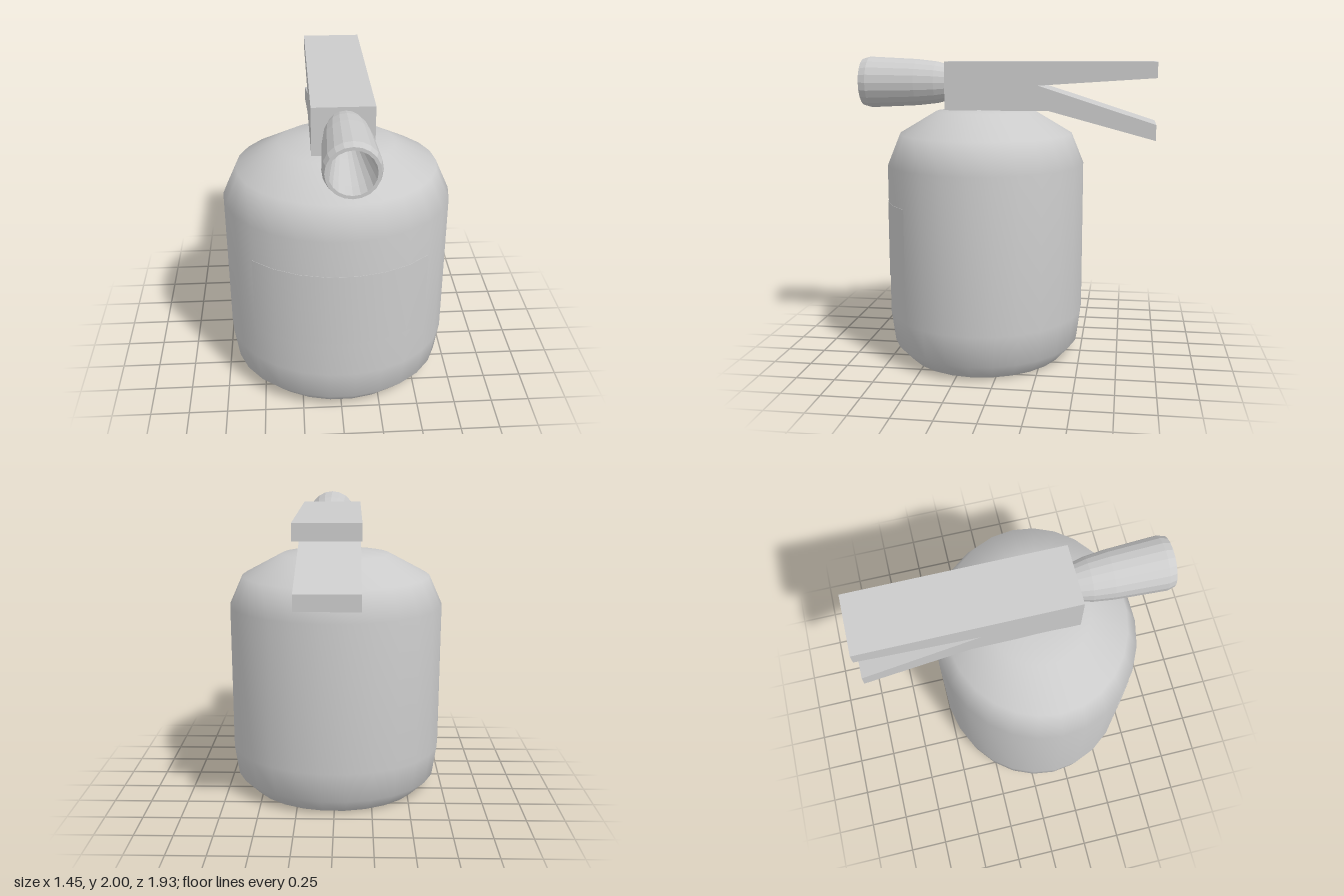
import * as THREE from 'three';

const SIDES = 26;
const grey = new THREE.MeshStandardMaterial({ color: 0xcccccc });
const greyFlat = new THREE.MeshStandardMaterial({ color: 0xcccccc, flatShading: true });

const points = (pairs) => pairs.map(([a, b]) => new THREE.Vector2(a, b));

function addMesh(parent, name, geometry, material) {
  const mesh = new THREE.Mesh(geometry, material);
  mesh.name = name;
  parent.add(mesh);
  return mesh;
}

export function createModel() {
  const model = new THREE.Group();
  model.name = 'fireExtinguisher';

  // Tank: a lathe squashed to an oval, with a sharp flat base
  const tank = new THREE.Group();
  tank.name = 'tank';
  tank.scale.z = 0.9;
  tank.position.z = 0.15;
  model.add(tank);
  const profile = points([
    [0.59, 0], [0.695, 0.105], [0.725, 0.31], [0.725, 1.3],
    [0.635, 1.5], [0.365, 1.645], [0.17, 1.668], [0, 1.67],
  ]);
  addMesh(tank, 'tankShell', new THREE.LatheGeometry(profile, SIDES, Math.PI / 2), grey);
  addMesh(tank, 'tankBase',
    new THREE.LatheGeometry(points([[0, 0], [0.59, 0]]), SIDES, Math.PI / 2), grey);

  // Label: a thin raised band over seven sides of the front
  const step = (Math.PI * 2) / SIDES;
  addMesh(tank, 'label', new THREE.LatheGeometry(
    points([[0.725, 0.56], [0.729, 0.56], [0.729, 1.06], [0.725, 1.06]]),
    7, -3.5 * step, 7 * step), grey);

  // Valve block with the fixed upper grip and angled lower lever, drawn as (z, y)
  const side = new THREE.Shape(points([
    [0.385, 1.97], [-0.965, 1.97], [-0.965, 1.87], [-0.22, 1.82],
    [-0.965, 1.58], [-0.965, 1.48], [-0.29, 1.66], [0.385, 1.66],
  ]));
  const handle = new THREE.ExtrudeGeometry(side, { depth: 0.385, bevelEnabled: false });
  handle.rotateY(-Math.PI / 2);
  handle.translate(0.22, 0, 0);
  addMesh(model, 'handle', handle, greyFlat);

  // Nozzle: flared hollow tube pointing forward, outer wall then lip then bore
  const nozzleProfile = points([
    [0.115, 0.38], [0.137, 0.47], [0.152, 0.6], [0.168, 0.92], [0.155, 0.968],
    [0.135, 0.968], [0.125, 0.88], [0.085, 0.62], [0.065, 0.42], [0, 0.42],
  ]);
  const nozzle = new THREE.LatheGeometry(nozzleProfile, 20);
  nozzle.rotateX(Math.PI / 2);
  addMesh(model, 'nozzle', nozzle, greyFlat).position.set(0.04, 1.832, 0);

  return model;
}
